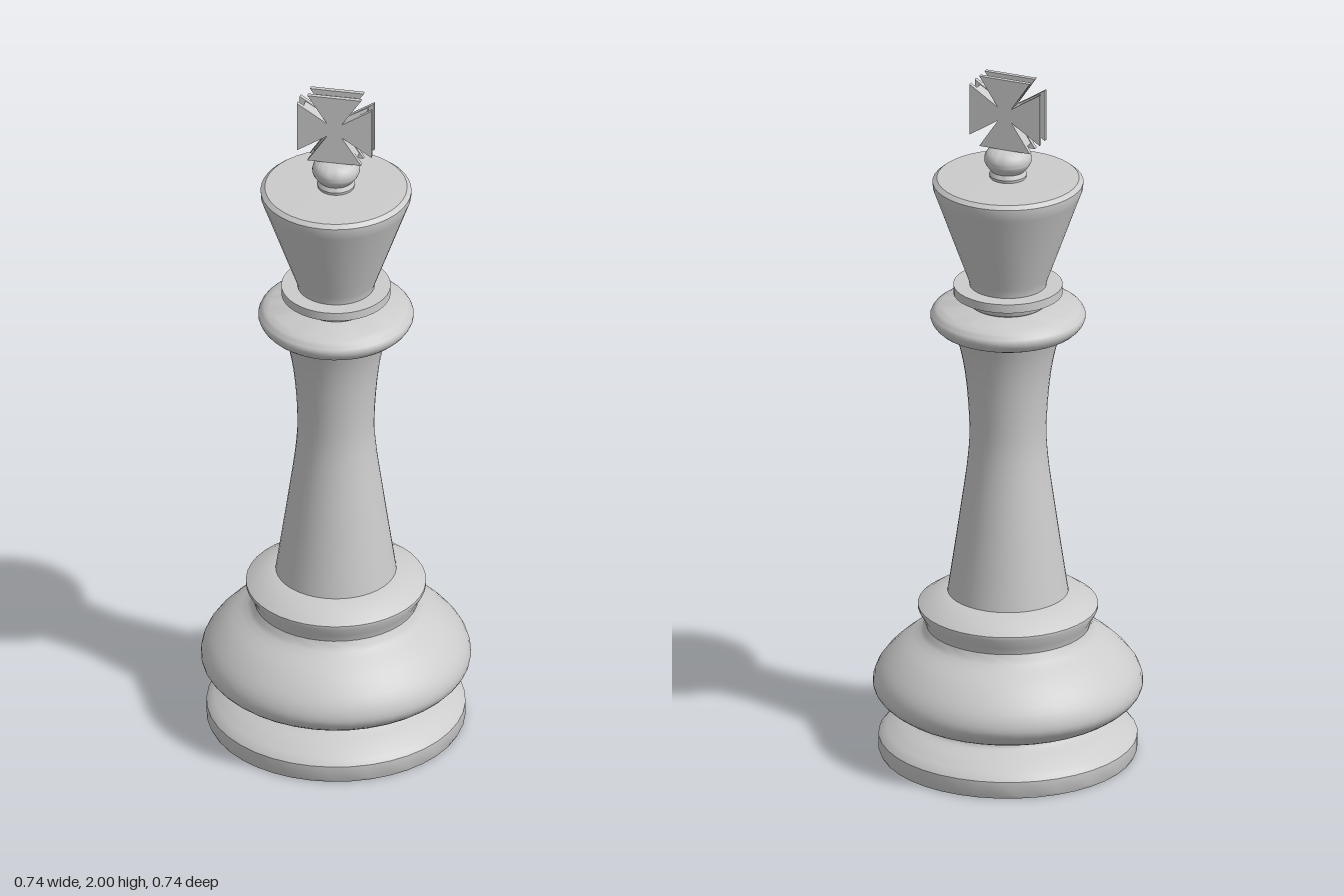
import * as THREE from 'three';
import { toCreasedNormals } from 'three/addons/utils/BufferGeometryUtils.js';

const material = new THREE.MeshStandardMaterial({ color: 0xcccccc });
const SEGMENTS = 40;

function addMesh(group, name, geometry) {
  const mesh = new THREE.Mesh(geometry, material);
  mesh.name = name;
  group.add(mesh);
  return mesh;
}

// Smooth run of profile points through a few [radius, height] pairs
function curve(pairs, steps) {
  const spline = new THREE.SplineCurve(pairs.map(([r, y]) => new THREE.Vector2(r, y)));
  return spline.getPoints(steps).map((p) => [p.x, p.y]);
}

// Turned part, listed from bottom to top, with sharp creases kept
function turned(group, name, pairs) {
  const points = pairs.map(([r, y]) => new THREE.Vector2(r, y));
  return addMesh(group, name, toCreasedNormals(new THREE.LatheGeometry(points, SEGMENTS), 0.6));
}

// Cross outline with four flared arms
function crossShape(reach, tip, waist) {
  const shape = new THREE.Shape();
  for (let i = 0; i < 4; i++) {
    const a = (i * Math.PI) / 2;
    const corners = [[waist, -waist], [reach, -tip], [reach, tip]];
    corners.forEach(([x, y], j) => {
      const px = x * Math.cos(a) - y * Math.sin(a);
      const py = x * Math.sin(a) + y * Math.cos(a);
      if (i === 0 && j === 0) shape.moveTo(px, py);
      else shape.lineTo(px, py);
    });
  }
  shape.closePath();
  return shape;
}

function crossSlab(group, name, shape, z, depth) {
  const geometry = new THREE.ExtrudeGeometry(shape, { depth, bevelEnabled: false });
  addMesh(group, name, geometry).position.z = z;
}

export function createModel() {
  const model = new THREE.Group();
  model.name = 'chessKing';

  // Foot, wide bulge and the collar above it
  turned(model, 'base', [
    [0, 0], [0.35, 0], [0.355, 0.01], [0.355, 0.05],
    ...curve([[0.345, 0.062], [0.305, 0.088], [0.262, 0.108], [0.255, 0.118]], 8),
    ...curve([[0.275, 0.128], [0.32, 0.146], [0.36, 0.178], [0.37, 0.21], [0.352, 0.255],
      [0.3, 0.31], [0.24, 0.352], [0.225, 0.375]], 20),
    [0.23, 0.395], [0.247, 0.425], [0.247, 0.435], [0.215, 0.457], [0.165, 0.475], [0, 0.475],
  ]);

  // Waisted column
  turned(model, 'column', curve([
    [0.167, 0.465], [0.15, 0.58], [0.13, 0.72], [0.11, 0.87], [0.106, 0.97],
    [0.115, 1.1], [0.13, 1.19], [0.15, 1.26],
  ], 20));

  // Rounded ring on top of the column
  turned(model, 'upperRing', [
    [0, 1.25], [0.15, 1.25],
    ...curve([[0.16, 1.25], [0.195, 1.262], [0.213, 1.288], [0.205, 1.31], [0.18, 1.325]], 12),
    [0, 1.328],
  ]);

  // Neck and the thin disc around it
  turned(model, 'neck', [[0.09, 1.32], [0.105, 1.33], [0.11, 1.345], [0.1, 1.36], [0.1, 1.4]]);
  turned(model, 'neckDisc', [[0, 1.36], [0.15, 1.36], [0.15, 1.385], [0, 1.385]]);

  // Flared head
  turned(model, 'head', [
    [0, 1.38], [0.105, 1.38], [0.107, 1.395],
    ...curve([[0.112, 1.41], [0.148, 1.51], [0.18, 1.6], [0.206, 1.672]], 8),
    [0.207, 1.69], [0.195, 1.7], [0, 1.705],
  ]);

  // Small knob below the cross
  turned(model, 'knob', [
    [0.048, 1.695], [0.052, 1.712], [0.046, 1.724],
    ...curve([[0.052, 1.73], [0.065, 1.752], [0.06, 1.775], [0.04, 1.789], [0, 1.793]], 12),
  ]);

  // Cross: two face plates around a shorter core, leaving recessed arm ends
  const cross = new THREE.Group();
  cross.name = 'cross';
  cross.position.y = 1.896;
  const plate = crossShape(0.104, 0.075, 0.02);
  crossSlab(cross, 'crossFrontPlate', plate, 0.013, 0.012);
  crossSlab(cross, 'crossBackPlate', plate, -0.025, 0.012);
  crossSlab(cross, 'crossCore', crossShape(0.088, 0.062, 0.02), -0.013, 0.026);
  model.add(cross);

  return model;
}
